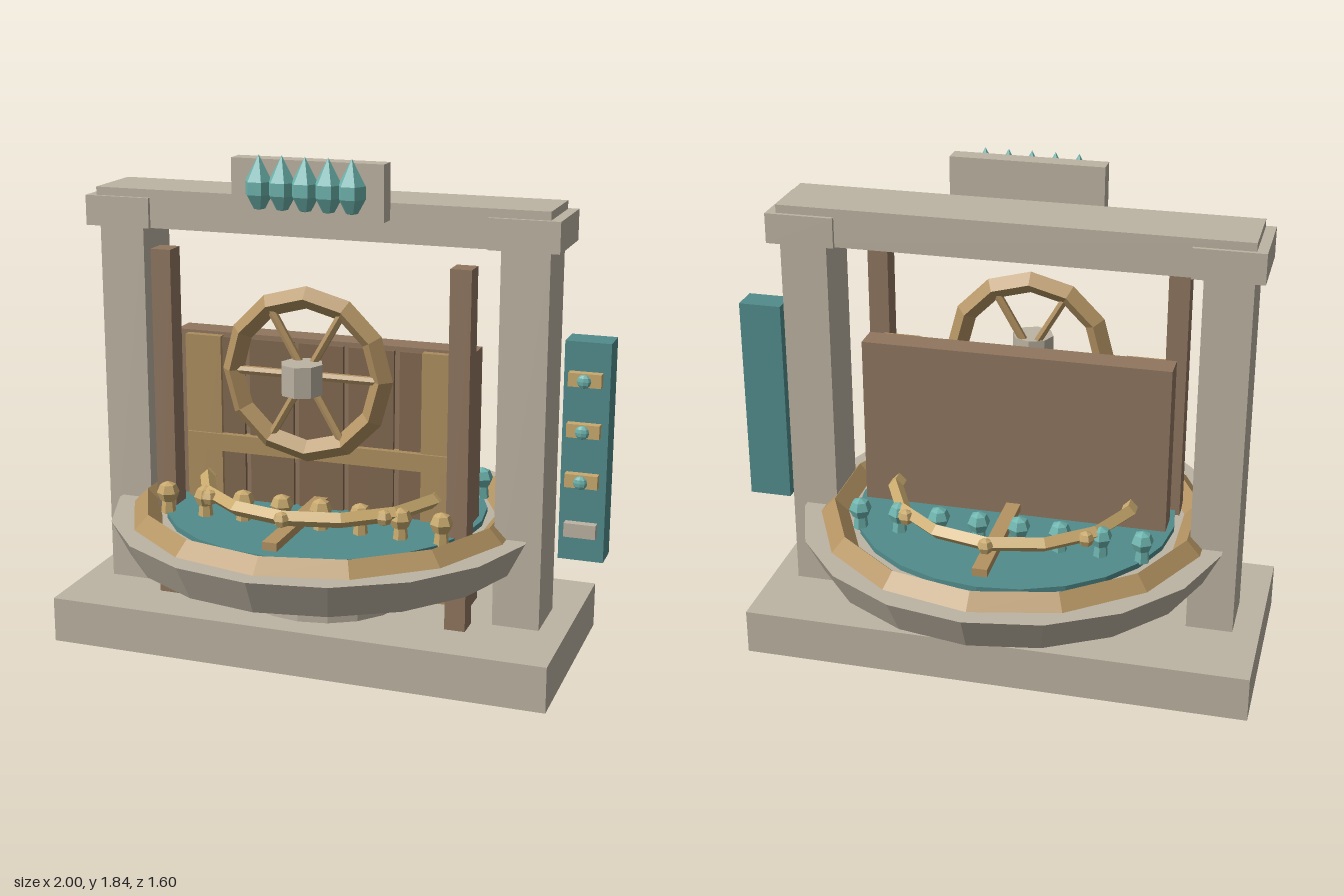
import * as THREE from 'three';

const mat = (name, color) => {
  const m = new THREE.MeshStandardMaterial({ color, flatShading: true });
  m.name = name;
  return m;
};

export function createModel() {
  const model = new THREE.Group();
  model.name = 'wheelGate';
  const stone = mat('stone', 0xbcb3a2);
  const teal = mat('teal', 0x528c8c);
  const crystalTeal = mat('crystalTeal', 0x6db3ad);
  const timber = mat('timber', 0x90765f);
  const darkTimber = mat('darkTimber', 0x80674f);
  const bronze = mat('bronze', 0xb39362);
  const ochre = mat('ochre', 0xab8e5f);
  const brass = mat('brass', 0xc9aa6e);
  const CX = -0.06; // shared axis of gate, table and wheel

  const add = (name, geo, material, x = 0, y = 0, z = 0) => {
    const mesh = new THREE.Mesh(geo, material);
    mesh.name = name;
    mesh.position.set(x, y, z);
    model.add(mesh);
    return mesh;
  };
  // box given by its two extreme corners
  const box = (name, material, x0, x1, y0, y1, z0, z1) =>
    add(name, new THREE.BoxGeometry(x1 - x0, y1 - y0, z1 - z0), material,
      (x0 + x1) / 2, (y0 + y1) / 2, (z0 + z1) / 2);
  const drum = (name, material, rTop, rBottom, y0, y1, sides, x = CX, z = 0) =>
    add(name, new THREE.CylinderGeometry(rTop, rBottom, y1 - y0, sides), material, x, (y0 + y1) / 2, z);

  // stone frame
  box('base', stone, -1, 0.88, 0, 0.17, -0.41, 0.41);
  box('beam', stone, CX - 0.843, CX + 0.843, 1.54, 1.68, -0.13, 0.13);
  for (const s of [-1, 1]) {
    const px = CX + s * 0.755;
    box('pillar', stone, px - 0.086, px + 0.086, 0.17, 1.54, -0.11, 0.11);
    box('pillarCap', stone, px - 0.125, px + 0.125, 1.54, 1.65, -0.145, 0.145);
    const gx = CX + s * 0.557;
    box('guidePost', timber, gx - 0.038, gx + 0.038, 0.17, 1.48, 0.125, 0.208);
  }

  // crest with five crystals
  box('crest', stone, CX - 0.28, CX + 0.28, 1.62, 1.82, 0.13, 0.2);
  const crystal = [[0, 0], [0.022, 0.005], [0.05, 0.055], [0.05, 0.1], [0, 0.192]]
    .map(([r, y]) => new THREE.Vector2(r, y));
  for (let i = -2; i <= 2; i++) {
    const c = add('crystal', new THREE.LatheGeometry(crystal, 6), crystalTeal, CX + i * 0.085, 1.645, 0.215);
    c.rotation.y = Math.PI / 6 * 3;
  }

  // door panel with planks, stiles and rails
  box('doorPanel', timber, CX - 0.57, CX + 0.57, 0.2, 1.155, -0.05, 0.05);
  for (let i = -2; i <= 2; i++) {
    const x = CX + i * 0.192;
    box('plank', darkTimber, x - 0.085, x + 0.085, 0.21, 1.14, 0.05, 0.065);
  }
  for (const s of [-1, 1]) {
    const x = CX + s * 0.455;
    box('stile', ochre, x - 0.07, x + 0.07, 0.21, 1.145, 0.05, 0.08);
  }
  box('doorRail', ochre, CX - 0.52, CX + 0.52, 0.71, 0.775, 0.05, 0.09);

  // hand wheel
  add('wheelRim', new THREE.TorusGeometry(0.28, 0.04, 4, 12), bronze, CX, 1.065, 0.208);
  for (let i = 0; i < 3; i++) {
    const spoke = add('wheelSpoke', new THREE.CylinderGeometry(0.016, 0.016, 0.54, 6), bronze, CX, 1.065, 0.212);
    spoke.rotation.z = Math.PI / 2 + i * Math.PI / 3;
  }
  drum('wheelHub', stone, 0.077, 0.077, 1.01, 1.12, 8, CX, 0.257);

  // round table
  drum('pedestal', stone, 0.315, 0.315, 0.17, 0.37, 18);
  drum('tableTop', stone, 0.8, 0.735, 0.37, 0.5, 18);
  const ring = (name, R, t, y, sides, material) => {
    const geo = new THREE.TorusGeometry(R, t, 4, sides);
    geo.rotateX(Math.PI / 2);
    geo.rotateY(Math.PI / 2);
    return add(name, geo, material, CX, y, 0);
  };
  ring('tableRing', 0.68, 0.052, 0.5, 14, bronze);
  drum('tableInlay', teal, 0.595, 0.595, 0.5, 0.52, 24);
  box('crossBar', bronze, CX - 0.027, CX + 0.027, 0.535, 0.565, -0.55, 0.58);

  // raised rail with knobs
  ring('raisedRail', 0.45, 0.028, 0.61, 14, brass);
  for (let i = 0; i < 8; i++) {
    const a = i * Math.PI / 4;
    add('railKnob', new THREE.SphereGeometry(0.03, 6, 4), brass,
      CX + 0.467 * Math.sin(a), 0.61, 0.467 * Math.cos(a));
  }

  // two rows of pegs
  for (const [z, material] of [[0.272, brass], [-0.272, crystalTeal]]) {
    for (let i = 0; i < 8; i++) {
      const x = CX + (i - 3.5) * 0.149;
      const knob = add('pegKnob', new THREE.SphereGeometry(0.042, 6, 4), material, x, 0.592, z);
      knob.rotation.y = Math.PI / 6;
      drum('pegStem', material, 0.022, 0.028, 0.515, 0.57, 6, x, z);
    }
  }

  // side control panel
  box('controlPanel', teal, 0.84, 1, 0.455, 1.24, 0, 0.108);
  for (const y of [1.113, 0.933, 0.753]) {
    box('controlPlate', brass, 0.86, 0.975, y - 0.024, y + 0.024, 0.108, 0.14);
    const button = add('controlButton', new THREE.SphereGeometry(0.025, 8, 6), crystalTeal, 0.918, y, 0.152);
    button.scale.z = 0.5;
  }
  box('controlSlot', stone, 0.863, 0.975, 0.548, 0.598, 0.108, 0.14);

  return model;
}
